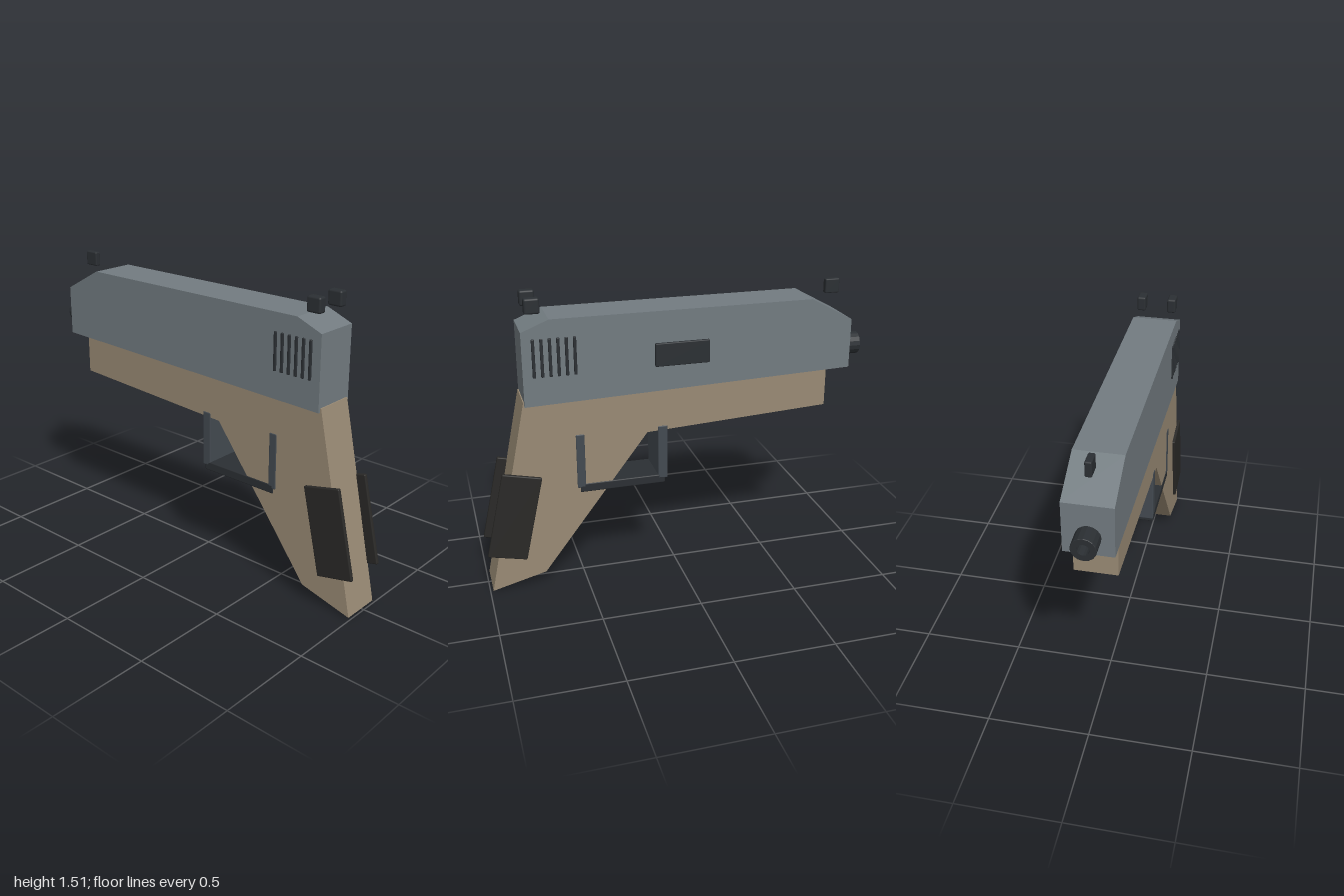
import * as THREE from 'three';
import { RoundedBoxGeometry } from 'three/addons/geometries/RoundedBoxGeometry.js';

const CX = -0.005; // centre plane of the body

export function createModel() {
  const model = new THREE.Group();
  model.name = 'pistol';

  const material = (color, extra = {}) => {
    const m = new THREE.MeshStandardMaterial(extra);
    m.color.set(color);
    return m;
  };
  const steel = material(0x727b80);
  const tan = material(0x998a74);
  const dark = material(0x2b2f33);
  const rubber = material(0x2a2927);
  const guardGrey = material(0x434a51);

  const add = (name, geometry, mat, x, y, z, parent = model) => {
    const mesh = new THREE.Mesh(geometry, mat);
    mesh.name = name;
    mesh.position.set(x, y, z);
    parent.add(mesh);
    return mesh;
  };

  // Side profile given as [z, y] points, extruded across x
  const slab = (points, width) => {
    const shape = new THREE.Shape(points.map(([z, y]) => new THREE.Vector2(z, y)));
    return new THREE.ExtrudeGeometry(shape, { depth: width, bevelEnabled: false })
      .translate(0, 0, -width / 2)
      .rotateY(-Math.PI / 2);
  };

  // Box with softened edges
  const box = (w, h, d, r) => new RoundedBoxGeometry(w, h, d, 2, r);

  // Main bodies
  add('slide', slab([
    [0.77, 0.985], [0.77, 1.355], [0.635, 1.41],
    [-0.69, 1.41], [-0.91, 1.29], [-0.91, 1.035],
  ], 0.232), steel, CX, 0, 0);

  add('frame', slab([
    [0.985, 0], [0.71, 0.07], [0.165, 0.785],
    [-0.79, 0.835], [-0.79, 1.04], [0.775, 1.005],
  ], 0.206), tan, CX, 0, 0);

  // Hollow muzzle: outer wall, front ring, bore and bore floor
  const muzzle = new THREE.LatheGeometry([
    [0.058, -0.06], [0.058, 0.088], [0.056, 0.09],
    [0.028, 0.09], [0.028, 0.02], [0, 0.02],
  ].map(([r, y]) => new THREE.Vector2(r, y)), 16).rotateX(-Math.PI / 2);
  add('muzzle', muzzle, material(0x2b2f33, { flatShading: true, side: THREE.DoubleSide }), CX, 1.127, -0.91);

  // Sights
  add('frontSight', box(0.032, 0.075, 0.077, 0.007), dark, CX, 1.443, -0.84);
  for (const side of [-1, 1]) {
    add('rearSight', box(0.045, 0.075, 0.075, 0.01), dark, CX + side * 0.08, 1.472, 0.708);
  }

  // Ejection port on the left side only
  add('ejectionPort', box(0.02, 0.118, 0.277, 0.005), dark, 0.114, 1.192, -0.013);

  // Grip panels and slide serrations, mirrored
  for (const side of [-1, 1]) {
    const panel = add('gripPanel', box(0.02, 0.455, 0.2, 0.006), rubber, CX + side * 0.108, 0.405, 0.852);
    panel.rotation.x = -0.22;

    const serrations = new THREE.Group();
    serrations.name = 'serrations';
    model.add(serrations);
    for (let i = 0; i < 6; i++) {
      add('serration', box(0.02, 0.19, 0.015, 0.004), dark,
        CX + side * 0.114, 1.225, 0.517 + i * 0.0397, serrations);
    }
  }

  // Trigger guard
  const guard = new THREE.Group();
  guard.name = 'triggerGuard';
  model.add(guard);
  add('guardFront', box(0.212, 0.29, 0.05, 0.006), guardGrey, CX, 0.667, 0.085, guard);
  add('guardRear', box(0.212, 0.29, 0.045, 0.006), guardGrey, CX, 0.667, 0.507, guard);
  add('guardBottom', box(0.212, 0.046, 0.44, 0.006), dark, CX, 0.52, 0.295, guard);

  // Trigger
  add('trigger', slab([
    [0.345, 0.54], [0.31, 0.54], [0.295, 0.61],
    [0.27, 0.68], [0.27, 0.78], [0.34, 0.78], [0.34, 0.64],
  ], 0.06), guardGrey, CX, 0, 0);

  return model;
}
